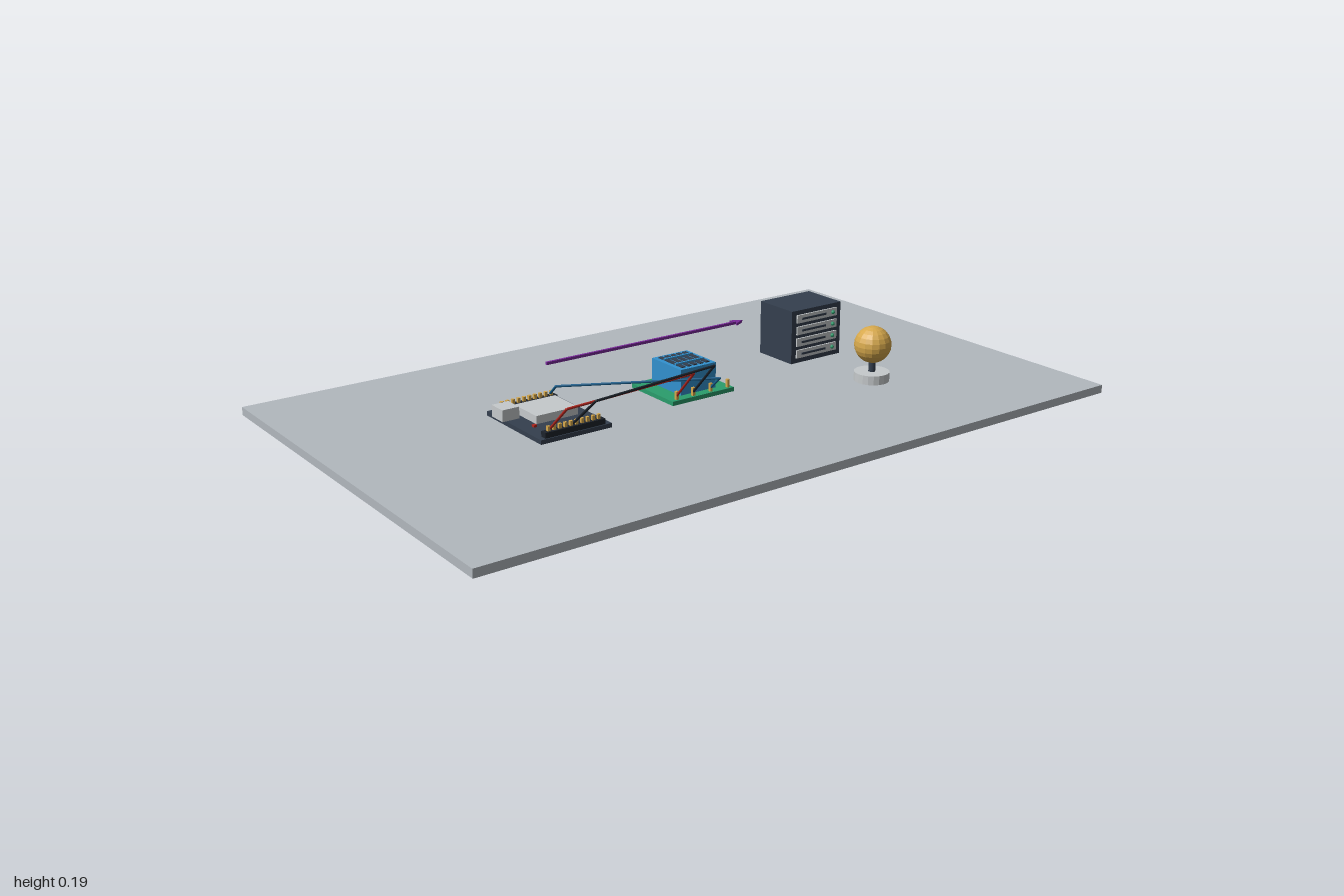
import * as THREE from 'three';

const mat = (name, color) => {
  const m = new THREE.MeshStandardMaterial({ color });
  m.name = name;
  return m;
};

export function createModel() {
  const plateGrey = mat('plate grey', 0xb2b8be), navy = mat('navy', 0x343f4e);
  const silver = mat('silver', 0xc6cacc), green = mat('board green', 0x2a9d6c);
  const blue = mat('sensor blue', 0x3291cf), gold = mat('gold', 0xd6a84c);
  const red = mat('wire red', 0xb3261e), black = mat('black', 0x1d232b);
  const purple = mat('purple', 0x7a2a9a), wireBlue = mat('wire blue', 0x17608f);

  const model = new THREE.Group();
  const group = (name) => {
    const g = new THREE.Group();
    g.name = name;
    model.add(g);
    return g;
  };
  const add = (parent, name, geo, material, x = 0, y = 0, z = 0) => {
    const m = new THREE.Mesh(geo, material);
    m.name = name;
    m.position.set(x, y, z);
    parent.add(m);
    return m;
  };
  // Box given by its lower and upper limits on each axis
  const box = (parent, name, material, x0, x1, y0, y1, z0, z1) =>
    add(parent, name, new THREE.BoxGeometry(x1 - x0, y1 - y0, z1 - z0), material,
      (x0 + x1) / 2, (y0 + y1) / 2, (z0 + z1) / 2);
  const faceted = (geo) => {
    const g = geo.toNonIndexed();
    g.computeVertexNormals();
    return g;
  };

  // Base plate
  box(model, 'basePlate', plateGrey, -1, 1, 0, 0.023, -0.624, 0.624);

  // Controller board with shield, port and two pin headers
  const board = group('controllerBoard');
  box(board, 'circuitBoard', navy, -0.525, -0.313, 0.038, 0.05, -0.14, 0.128);
  box(board, 'chipShield', silver, -0.473, -0.347, 0.05, 0.072, -0.088, 0.022);
  box(board, 'usbPort', silver, -0.535, -0.485, 0.05, 0.082, -0.096, -0.042);
  box(board, 'powerLight', red, -0.492, -0.482, 0.05, 0.056, 0.03, 0.04);
  for (const z of [-0.113, 0.115]) {
    box(board, 'pinHeader', black, -0.51, -0.33, 0.05, 0.065, z - 0.01, z + 0.01);
    for (let i = 0; i < 10; i++) {
      const x = -0.495 + i * 0.0167;
      box(board, 'headerPin', gold, x - 0.004, x + 0.004, 0.05, 0.078, z - 0.004, z + 0.004);
    }
  }

  // Sensor module with slotted housing
  const sensor = group('sensorModule');
  box(sensor, 'sensorBoard', green, -0.092, 0.114, 0.038, 0.05, -0.1, 0.09);
  box(sensor, 'sensorHousing', blue, -0.045, 0.073, 0.05, 0.122, -0.07, 0.062);
  for (let i = 0; i < 5; i++) {
    const x = -0.026 + i * 0.02;
    box(sensor, 'ventSlot', navy, x - 0.006, x + 0.006, 0.12, 0.125, -0.058, 0.05);
  }
  for (const z of [-0.03, 0.022])
    box(sensor, 'ventRib', blue, -0.034, 0.062, 0.12, 0.128, z - 0.003, z + 0.003);
  for (const x of [-0.072, -0.017, 0.042, 0.1])
    box(sensor, 'sensorPin', gold, x - 0.004, x + 0.004, 0.045, 0.073, 0.076, 0.084);

  // Server cabinet with four drawers
  const server = group('serverCabinet');
  box(server, 'cabinet', navy, 0.406, 0.59, 0.031, 0.188, -0.155, -0.014);
  for (let i = 0; i < 4; i++) {
    const y = 0.058 + i * 0.035;
    box(server, 'drawerFront', silver, 0.423, 0.573, y - 0.012, y + 0.012, -0.016, -0.009);
    box(server, 'drawerSlot', navy, 0.44, 0.53, y - 0.003, y + 0.003, -0.01, -0.007);
    add(server, 'drawerLight', new THREE.SphereGeometry(0.006, 8, 6), green, 0.556, y, -0.008);
  }

  // Globe on a round foot
  const globe = group('globeLamp');
  const gx = 0.497, gz = 0.226;
  add(globe, 'foot', faceted(new THREE.CylinderGeometry(0.05, 0.05, 0.026, 20)), silver, gx, 0.044, gz);
  add(globe, 'stem', new THREE.CylinderGeometry(0.01, 0.01, 0.04, 12), navy, gx, 0.074, gz);
  add(globe, 'ball', faceted(new THREE.SphereGeometry(0.052, 16, 12)), gold, gx, 0.135, gz);

  // Wires made of straight runs with sharp bends
  const wire = (name, material, pts, r = 0.0035) => {
    const path = new THREE.CurvePath();
    const v = pts.map((p) => new THREE.Vector3(...p));
    const g = group(name);
    for (let i = 0; i < v.length - 1; i++) {
      path.curves = [new THREE.LineCurve3(v[i], v[i + 1])];
      add(g, name + 'Run', new THREE.TubeGeometry(path.curves[0], 1, r, 8), material);
      add(g, name + 'Bend', new THREE.SphereGeometry(r, 8, 6), material, ...pts[i + 1]);
    }
  };
  wire('redWire', red, [[-0.49, 0.07, 0.115], [-0.488, 0.143, 0.192],
    [-0.072, 0.143, 0.156], [-0.072, 0.06, 0.08]]);
  wire('blackWire', black, [[-0.42, 0.07, 0.115], [-0.42, 0.158, 0.22],
    [-0.017, 0.158, 0.172], [-0.017, 0.06, 0.08]]);
  wire('blueWire', wireBlue, [[-0.347, 0.07, -0.113], [-0.347, 0.098, -0.083],
    [0.042, 0.098, 0.12], [0.042, 0.06, 0.08]]);

  // Flat arrow running toward the cabinet
  const arrow = group('signalArrow');
  box(arrow, 'arrowShaft', purple, -0.27, 0.4, 0.097, 0.105, -0.26, -0.252);
  const head = new THREE.Shape([[0, 0.018], [0.035, 0], [0, -0.018], [0.01, 0]]
    .map((p) => new THREE.Vector2(...p)));
  const headGeo = new THREE.ExtrudeGeometry(head, { depth: 0.008, bevelEnabled: false });
  headGeo.rotateX(-Math.PI / 2);
  add(arrow, 'arrowHead', headGeo, purple, 0.383, 0.097, -0.256);

  return model;
}
